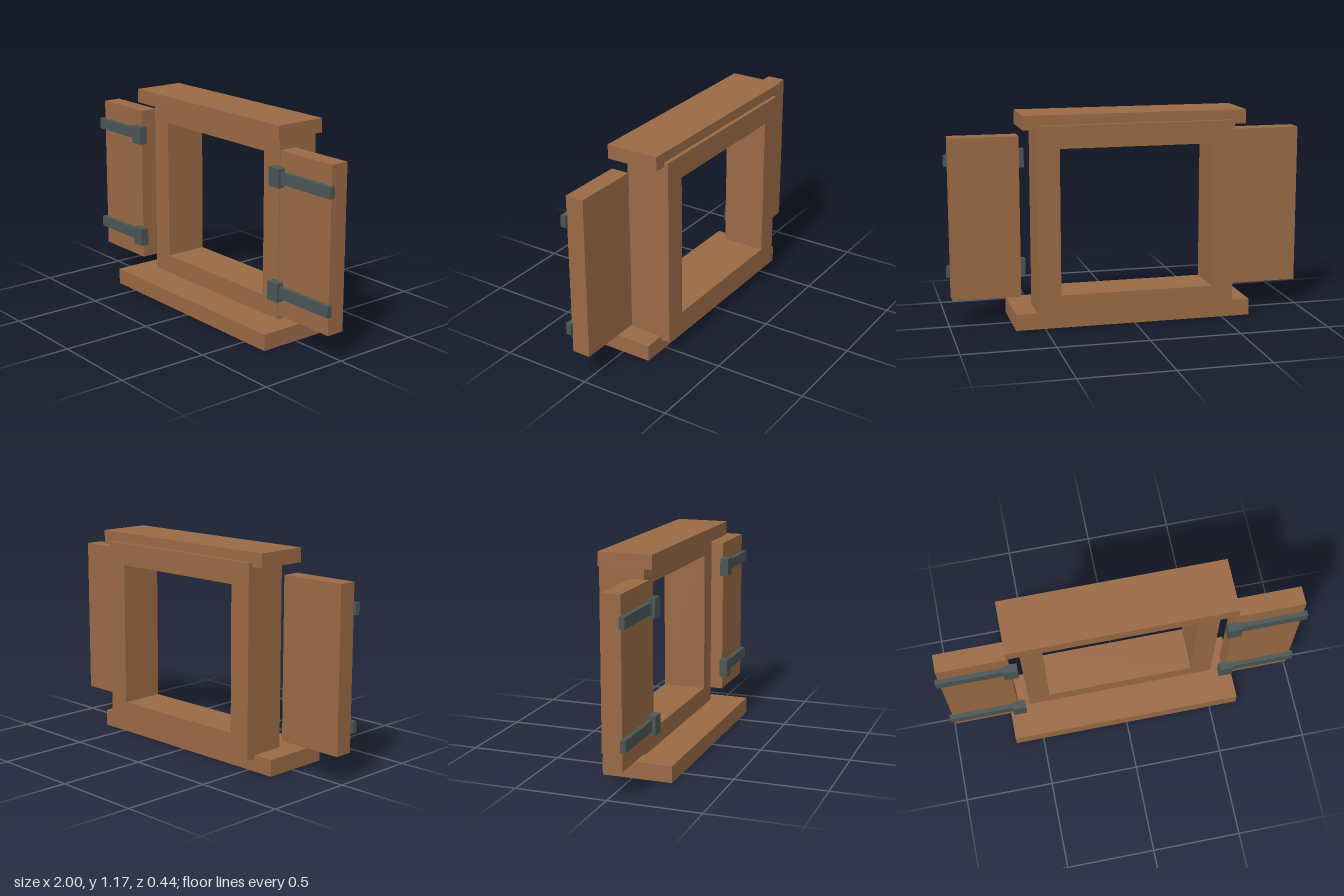
import * as THREE from 'three';

export function createModel() {
  const wood = new THREE.MeshStandardMaterial({ color: 0x9a6a45 });
  wood.name = 'wood';
  const iron = new THREE.MeshStandardMaterial({ color: 0x4b5655 });
  iron.name = 'iron';

  const model = new THREE.Group();
  model.name = 'shutteredWindow';

  // Box given by its extents along each axis
  function box(parent, name, material, [x0, x1], [y0, y1], [z0, z1]) {
    const mesh = new THREE.Mesh(new THREE.BoxGeometry(x1 - x0, y1 - y0, z1 - z0), material);
    mesh.position.set((x0 + x1) / 2, (y0 + y1) / 2, (z0 + z1) / 2);
    mesh.name = name;
    parent.add(mesh);
  }

  // Rectangular outline, used for the frame and its opening
  function rectangle(Type, halfWidth, y0, y1) {
    const path = new Type();
    path.moveTo(-halfWidth, y0);
    path.lineTo(halfWidth, y0);
    path.lineTo(halfWidth, y1);
    path.lineTo(-halfWidth, y1);
    path.closePath();
    return path;
  }

  // Window frame with a through opening
  const outline = rectangle(THREE.Shape, 0.543, 0.07, 1.113);
  outline.holes.push(rectangle(THREE.Path, 0.42, 0.197, 0.99));
  const frame = new THREE.Mesh(
    new THREE.ExtrudeGeometry(outline, { depth: 0.247, bevelEnabled: false }), wood);
  frame.position.z = -0.22;
  frame.name = 'windowFrame';
  model.add(frame);

  // Sill and lintel
  box(model, 'sill', wood, [-0.66, 0.66], [0, 0.091], [-0.165, 0.22]);
  box(model, 'lintel', wood, [-0.612, 0.612], [1.09, 1.167], [-0.198, 0.097]);

  // Open shutters with strap hinges, one on each side
  for (const side of [1, -1]) {
    const shutter = new THREE.Group();
    shutter.name = side > 0 ? 'leftShutter' : 'rightShutter';
    const span = (a, b) => (side > 0 ? [a, b] : [-b, -a]);
    box(shutter, 'shutterPanel', wood, span(0.606, 0.982), [0.15, 1.037], [-0.023, 0.079]);
    for (const y of [0.287, 0.901]) {
      box(shutter, 'hingeStrap', iron, span(0.6, 1), [y - 0.031, y + 0.031], [0.075, 0.104]);
      box(shutter, 'hingeBlock', iron, span(0.564, 0.64), [y - 0.051, y + 0.051], [0.075, 0.122]);
    }
    model.add(shutter);
  }

  return model;
}
